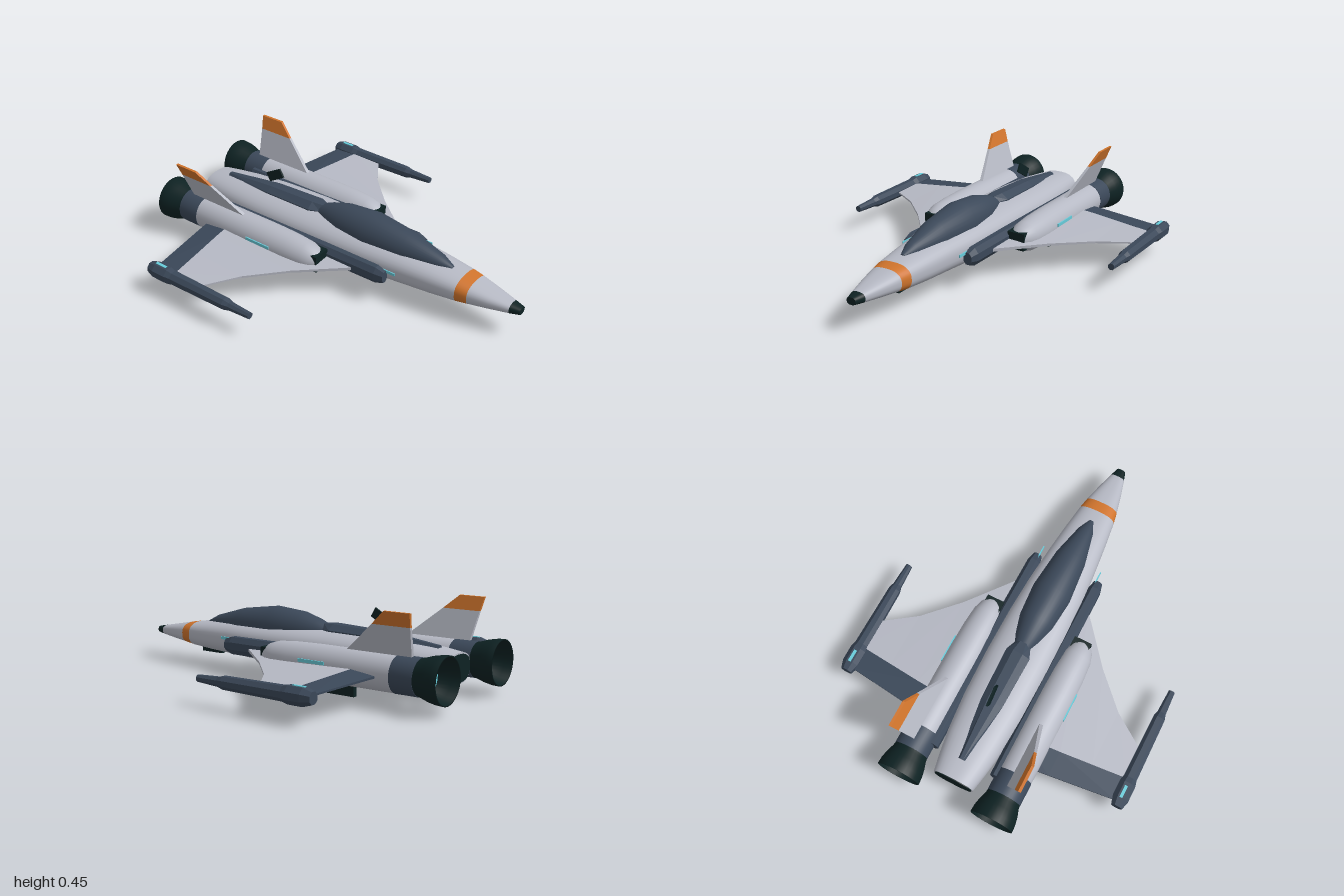
import * as THREE from 'three';

const mat = (name, color) => {
  const m = new THREE.MeshStandardMaterial({ color });
  m.name = name;
  return m;
};

// Closed skin over rings of points, with flat end caps; always wound outwards.
function skin(rings, flat) {
  const n = rings[0].length, pos = [];
  let idx = [];
  const add = (p) => pos.push(p.x, p.y, p.z) / 3 - 1;
  rings.forEach((r) => r.forEach(add));
  for (let i = 0; i < rings.length - 1; i++) {
    for (let j = 0; j < n; j++) {
      const a = i * n + j, b = i * n + (j + 1) % n;
      idx.push(a, a + n, b, b, a + n, b + n);
    }
  }
  [rings[0], rings[rings.length - 1]].forEach((r, e) => {
    const mid = r.reduce((s, p) => s.add(p), new THREE.Vector3()).divideScalar(n);
    const c = add(mid), first = c + 1;
    r.forEach(add);
    for (let j = 0; j < n; j++) {
      const a = first + j, b = first + (j + 1) % n;
      idx.push(c, ...(e ? [b, a] : [a, b]));
    }
  });
  const P = (i) => new THREE.Vector3().fromArray(pos, i * 3);
  let volume = 0;
  for (let i = 0; i < idx.length; i += 3) volume += P(idx[i]).dot(P(idx[i + 1]).cross(P(idx[i + 2])));
  if (volume < 0) idx = idx.reverse();
  let g = new THREE.BufferGeometry();
  g.setAttribute('position', new THREE.Float32BufferAttribute(pos, 3));
  g.setIndex(idx);
  if (flat) g = g.toNonIndexed();
  g.computeVertexNormals();
  return g;
}

// Sections along z: [z, halfWidth, halfHeight, centreY]; power > 2 squares the section.
function loft(sections, { x = 0, sides = 32, power = 2, flat = false } = {}) {
  const k = flat ? 1 / Math.cos(Math.PI / sides) : 1;
  const bend = (v) => Math.sign(v) * Math.abs(v) ** (2 / power) * k;
  return skin(sections.map(([z, w, h, y]) => Array.from({ length: sides }, (_, j) => {
    const a = (j + 0.5) / sides * Math.PI * 2;
    return new THREE.Vector3(x + w * bend(Math.cos(a)), y + h * bend(Math.sin(a)), z);
  })), flat);
}

// Stations: [x, y, zFront, zBack, halfThickFront, halfThickBack], thick along 'x' or 'y'.
function panel(stations, axis, s = 1) {
  return skin(stations.map(([x, y, zf, zb, tf, tb]) =>
    [[zf, tf], [zf, -tf], [zb, -tb], [zb, tb]].map(([z, t]) => {
      const p = new THREE.Vector3(s * x, y, z);
      p[axis] += t;
      return p;
    })), true);
}

export function createModel() {
  const grey = mat('hullGrey', 0xb6b9c4), slate = mat('slate', 0x3b4859);
  const black = mat('nearBlack', 0x0e2223), orange = mat('orange', 0xd0742c);
  const cyan = mat('cyanGlow', 0x68ccda);
  const model = new THREE.Group();
  const add = (name, geo, material, parent = model) => {
    const m = new THREE.Mesh(geo, material);
    m.name = name;
    parent.add(m);
    return m;
  };
  const box = (name, size, at, material, parent) => {
    const m = add(name, new THREE.BoxGeometry(...size), material, parent);
    m.position.set(...at);
    return m;
  };

  // Fuselage, split where the colour changes
  const hull = { power: 2.5 };
  const bandFront = [0.75, 0.09, 0.056, 0.164], bandBack = [0.69, 0.101, 0.065, 0.165];
  add('noseTip', loft([[1, 0.024, 0.018, 0.155], [0.95, 0.04, 0.026, 0.156]], hull), black);
  add('noseCone', loft([[0.95, 0.04, 0.026, 0.156], [0.85, 0.067, 0.041, 0.16], bandFront], hull), grey);
  add('noseBand', loft([bandFront, bandBack], hull), orange);
  add('fuselage', loft([bandBack, [0.55, 0.119, 0.078, 0.168], [0.4, 0.135, 0.087, 0.171],
    [0.2, 0.153, 0.096, 0.17], [0, 0.163, 0.102, 0.17], [-0.25, 0.166, 0.104, 0.17],
    [-0.5, 0.16, 0.1, 0.168], [-0.7, 0.143, 0.092, 0.166], [-0.82, 0.124, 0.083, 0.164],
    [-0.91, 0.107, 0.074, 0.162]], hull), grey);
  add('tailCap', loft([[-0.9, 0.1, 0.067, 0.162], [-0.914, 0.1, 0.067, 0.162]], hull), black);

  // Canopy and spine
  add('canopy', loft([[0.62, 0.012, 0.008, 0.235], [0.55, 0.042, 0.038, 0.24], [0.37, 0.083, 0.085, 0.245],
    [0.15, 0.104, 0.11, 0.25], [-0.02, 0.092, 0.096, 0.25], [-0.12, 0.066, 0.068, 0.25],
    [-0.18, 0.045, 0.042, 0.25]]), slate);
  add('spine', loft([[-0.16, 0.04, 0.045, 0.255], [-0.22, 0.064, 0.047, 0.257], [-0.5, 0.057, 0.04, 0.254],
    [-0.81, 0.02, 0.024, 0.235]], { sides: 8, flat: true }), slate);
  box('dorsalBlade', [0.01, 0.05, 0.105], [0, 0.356, -0.487], black).rotation.x = -0.52;

  // Belly details
  box('noseSensor', [0.024, 0.035, 0.14], [0, 0.086, 0.6], black);
  add('ventralFin', panel([[0, 0.09, -0.46, -0.8, 0.006, 0.006], [0, 0.005, -0.66, -0.83, 0.006, 0.006]], 'x'), slate);

  for (const s of [1, -1]) {
    const side = new THREE.Group();
    side.name = s > 0 ? 'leftSide' : 'rightSide';
    model.add(side);
    const put = (name, geo, material) => add(name, geo, material, side);
    const block = (name, size, [x, y, z], material) => box(name, size, [s * x, y, z], material, side);

    // Engine nacelle
    const cx = 0.257, cy = 0.16, x = s * cx;
    const round = (list) => loft(list.map(([z, r]) => [z, r, r, cy]), { x });
    put('nacelle', round([[0.008, 0.042], [-0.02, 0.062], [-0.07, 0.077], [-0.17, 0.085], [-0.3, 0.088], [-0.75, 0.088]]), grey);
    put('nacelleBand', round([[-0.75, 0.089], [-0.87, 0.089]]), slate);
    block('nacelleIntake', [0.095, 0.09, 0.07], [0.25, 0.16, -0.018], black);
    const bell = [[0.086, 0.86], [0.09, 0.885], [0.103, 0.925], [0.111, 0.965], [0.113, 1],
      [0.106, 1], [0.1, 0.96], [0.074, 0.9]].map((p) => new THREE.Vector2(...p));
    const nozzle = new THREE.LatheGeometry(bell, 32).rotateX(-Math.PI / 2).translate(x, cy, 0);
    put('nozzle', nozzle, black);
    put('engineGlow', new THREE.CircleGeometry(0.078, 32).rotateY(Math.PI).translate(x, cy, -0.905), cyan);
    block('nacelleLight', [0.006, 0.016, 0.15], [0.345, 0.178, -0.325], cyan);
    block('skid', [0.022, 0.06, 0.19], [0.25, 0.05, -0.415], black);

    // Intake trunk beside the fuselage
    put('intakeTrunk', loft([[0.345, 0.022, 0.03, 0.163], [0.3, 0.033, 0.045, 0.163], [0, 0.036, 0.046, 0.163],
      [-0.8, 0.03, 0.044, 0.163]], { x: s * 0.177, sides: 8, flat: true }), slate);
    block('intakeProbe', [0.005, 0.014, 0.08], [0.165, 0.19, 0.355], cyan);

    // Wing with flap
    put('wing', panel([[0.15, 0.156, 0.23, -0.56, 0.008, 0.026], [0.21, 0.155, 0.17, -0.56, 0.008, 0.025],
      [0.4, 0.148, -0.06, -0.545, 0.006, 0.02], [0.57, 0.14, -0.23, -0.53, 0.005, 0.015],
      [0.74, 0.133, -0.345, -0.51, 0.004, 0.01]], 'y', s), grey);
    put('flap', panel([[0.2, 0.155, -0.56, -0.695, 0.025, 0.006], [0.4, 0.148, -0.545, -0.672, 0.02, 0.005],
      [0.74, 0.133, -0.51, -0.63, 0.01, 0.004]], 'y', s), slate);

    // Wingtip pod
    put('wingtipPod', loft([[-0.005, 0.016], [-0.13, 0.022], [-0.16, 0.03], [-0.5, 0.034], [-0.53, 0.041],
      [-0.61, 0.041], [-0.655, 0.028]].map(([z, r]) => [z, r, r, 0.13]), { x: s * 0.762, sides: 8, flat: true }), slate);
    block('podLight', [0.015, 0.008, 0.065], [0.762, 0.17, -0.58], cyan);

    // Canted tail fin
    const split = [0.316, 0.385, -0.645, -0.845, 0.007, 0.007];
    put('tailFin', panel([[0.255, 0.225, -0.455, -0.822, 0.01, 0.01], split], 'x', s), grey);
    put('tailFinTip', panel([split, [0.341, 0.452, -0.722, -0.856, 0.007, 0.007]], 'x', s), orange);
  }
  return model;
}
